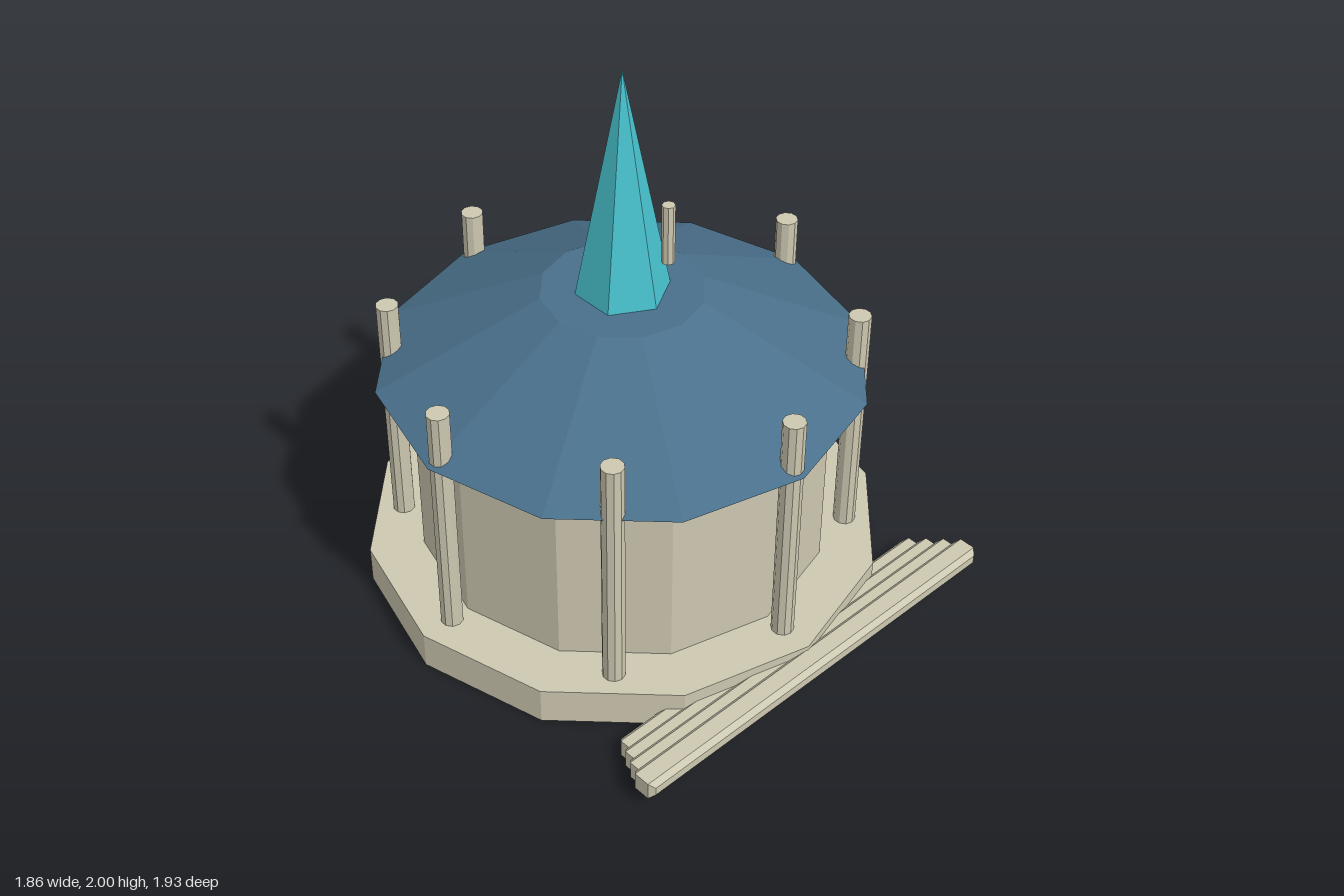
import * as THREE from 'three';

const mat = (name, color) => Object.assign(new THREE.MeshStandardMaterial({ color, flatShading: true }), { name });

// Box with chamfered edges, centred on the origin
function chamferBox(w, h, d, c) {
  const x = w / 2 - c, y = h / 2 - c;
  const shape = new THREE.Shape([
    new THREE.Vector2(-x, -y), new THREE.Vector2(x, -y),
    new THREE.Vector2(x, y), new THREE.Vector2(-x, y),
  ]);
  const geo = new THREE.ExtrudeGeometry(shape, {
    depth: d - 2 * c, bevelEnabled: true, bevelThickness: c, bevelSize: c, bevelSegments: 1,
  });
  return geo.translate(0, 0, c - d / 2);
}

export function createModel() {
  const stone = mat('stone', 0xcdc8b1);
  const slate = mat('blueRoof', 0x4a708b);
  const turquoise = mat('turquoise', 0x48c2ce);
  const dark = mat('darkGreen', 0x2a4649);

  const model = new THREE.Group();
  model.name = 'pavilion';
  const rotunda = new THREE.Group();
  rotunda.name = 'rotunda';
  rotunda.position.z = -0.04;
  model.add(rotunda);

  const add = (parent, name, geo, material, x, y, z) => {
    const mesh = new THREE.Mesh(geo, material);
    mesh.name = name;
    mesh.position.set(x, y, z);
    parent.add(mesh);
  };
  // Upright prism or cone between two heights
  const prism = (name, rTop, rBottom, y0, y1, sides, material, x = 0, z = 0) =>
    add(rotunda, name, new THREE.CylinderGeometry(rTop, rBottom, y1 - y0, sides), material, x, (y0 + y1) / 2, z);

  // Twelve-sided body
  prism('plinth', 0.93, 0.93, 0, 0.14, 12, stone);
  prism('wall', 0.735, 0.735, 0.14, 0.857, 12, stone);
  prism('roof', 0.285, 0.86, 0.855, 1.155, 12, slate);
  prism('spire', 0, 0.165, 1.155, 2, 6, turquoise);

  // Ring of columns piercing the eaves
  for (let i = 0; i < 8; i++) {
    const a = (i * Math.PI) / 4;
    prism('column', 0.04, 0.04, 0.14, 1.06, 10, stone, Math.sin(a) * 0.805, Math.cos(a) * 0.805);
  }

  // Small rod beside the spire
  prism('rod', 0.023, 0.023, 1.305, 1.53, 8, stone, 0.07, 0.145);

  // Back door
  add(model, 'door', chamferBox(0.34, 0.46, 0.04, 0.012), dark, 0, 0.37, -0.77);

  // Front steps, widest and highest outermost
  for (let i = 0; i < 4; i++) {
    add(model, 'step', chamferBox(1.61 - i * 0.06, 0.068, 0.096, 0.018), stone,
      0, 0.089 - i * 0.0165, 0.917 - i * 0.055);
  }
  return model;
}
